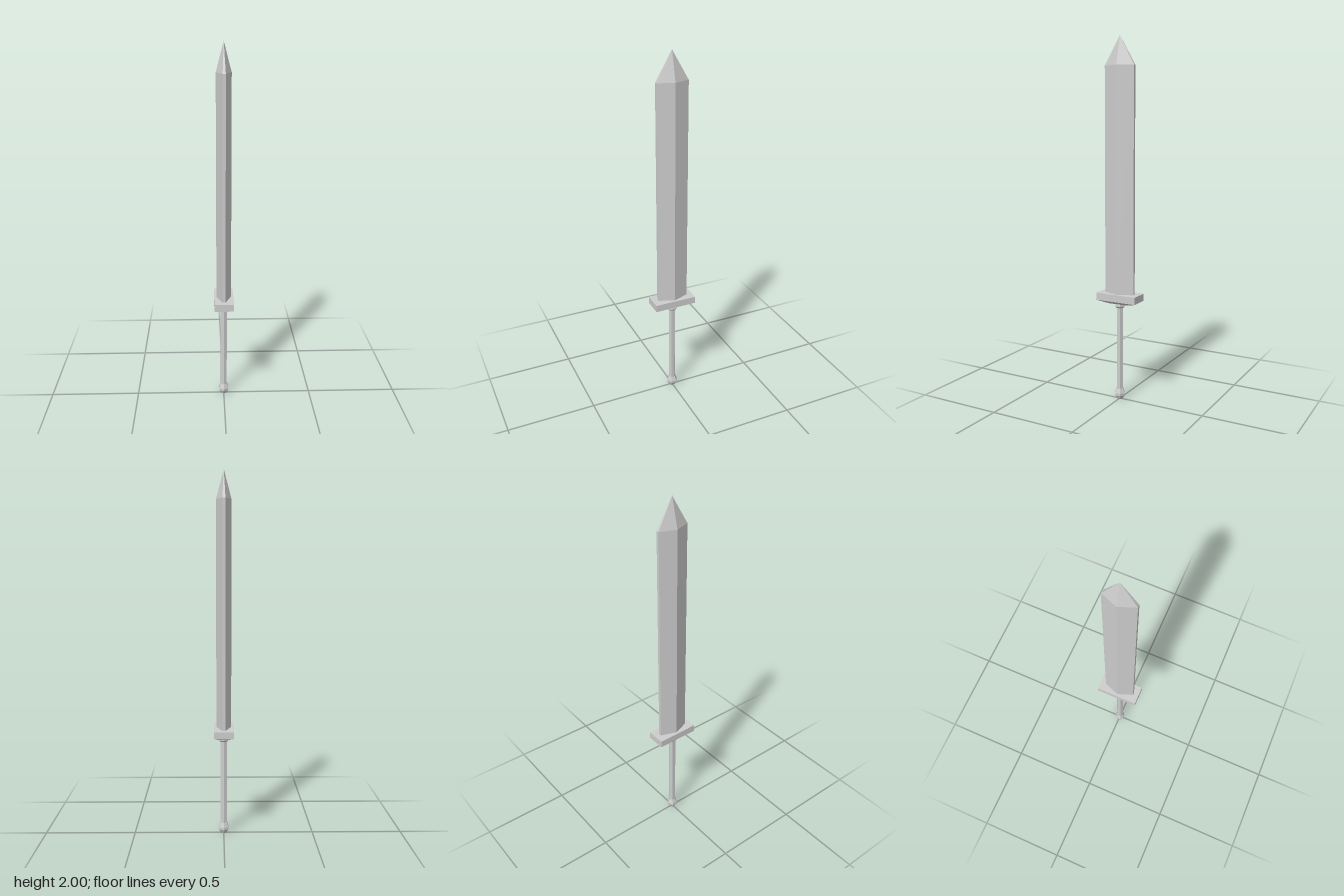
import * as THREE from 'three';

// Joins a stack of same-sized outlines (lists of [x, z], running from +z towards +x) into a capped solid.
function loft(sections) {
  const pos = [];
  const rings = sections.map(({ y, outline }) => outline.map(([x, z]) => [x, y, z]));
  const n = rings[0].length;
  const tri = (a, b, c) => pos.push(...a, ...b, ...c);
  for (let k = 0; k < rings.length - 1; k++) {
    for (let i = 0; i < n; i++) {
      const j = (i + 1) % n;
      const lo = rings[k], hi = rings[k + 1];
      tri(lo[i], lo[j], hi[j]);
      tri(lo[i], hi[j], hi[i]);
    }
  }
  const bottom = rings[0], top = rings[rings.length - 1];
  for (let i = 1; i < n - 1; i++) {
    tri(bottom[0], bottom[i + 1], bottom[i]);
    tri(top[0], top[i], top[i + 1]);
  }
  const geometry = new THREE.BufferGeometry();
  geometry.setAttribute('position', new THREE.Float32BufferAttribute(pos, 3));
  geometry.computeVertexNormals();
  return geometry;
}

const rectangle = (x, z) => [[-x, z], [x, z], [x, -z], [-x, -z]];
const bladeOutline = (s) =>
  [[-0.008, 0.088], [0.008, 0.088], [0.041, 0], [0.008, -0.088], [-0.008, -0.088], [-0.041, 0]]
    .map(([x, z]) => [x * s, z * s]);
const hexagon = (r) => Array.from({ length: 6 }, (_, i) => {
  const a = (i * Math.PI) / 3;
  return [Math.sin(a) * r, Math.cos(a) * r];
});
const turned = (profile) => loft(profile.map(([r, y]) => ({ y, outline: hexagon(r) })));

export function createModel() {
  const model = new THREE.Group();
  model.name = 'sword';
  const steel = new THREE.MeshStandardMaterial({ color: 0xcccccc, flatShading: true });
  steel.name = 'steel grey';

  const add = (name, geometry) => {
    const mesh = new THREE.Mesh(geometry, steel);
    mesh.name = name;
    model.add(mesh);
  };

  // Six-sided blade drawn in to a point
  add('blade', loft([
    { y: 0.605, outline: bladeOutline(1) },
    { y: 1.845, outline: bladeOutline(1) },
    { y: 2, outline: bladeOutline(0.001) },
  ]));

  // Block guard with a sloped underside
  add('guard', loft([
    { y: 0.552, outline: rectangle(0.026, 0.058) },
    { y: 0.57, outline: rectangle(0.054, 0.12) },
    { y: 0.61, outline: rectangle(0.054, 0.12) },
  ]));

  // Collar, grip and pommel, all hexagonal
  add('collar', turned([[0.021, 0.529], [0.029, 0.537], [0.029, 0.547], [0.024, 0.555]]));
  add('grip', turned([[0.02, 0.05], [0.02, 0.535]]));
  add('pommel', turned([[0.016, 0], [0.03, 0.022], [0.03, 0.036], [0.02, 0.062]]));

  return model;
}
